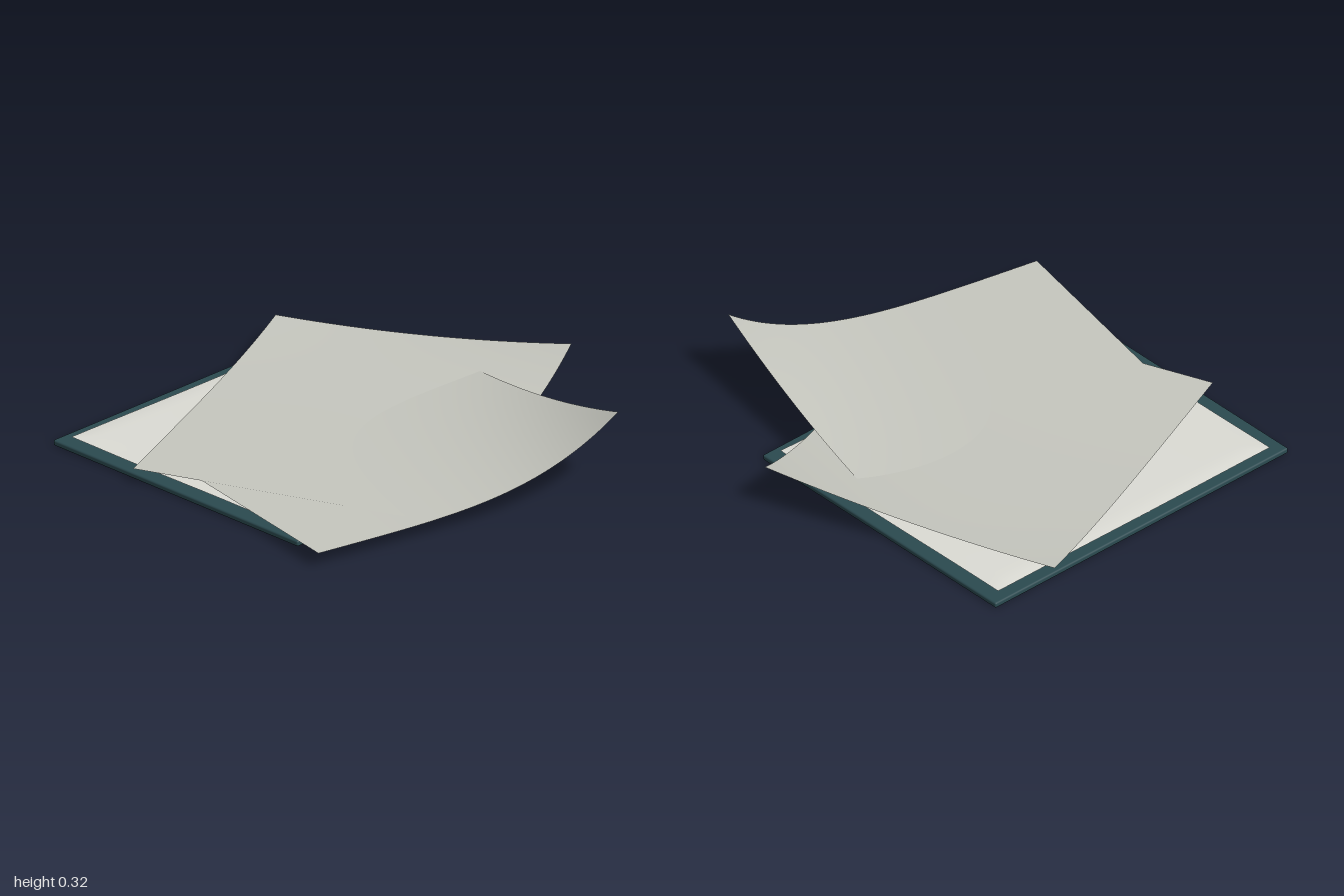
import * as THREE from 'three';
import { RoundedBoxGeometry } from 'three/addons/geometries/RoundedBoxGeometry.js';

// Curved sheet spanned by three ground corners [x, z]; height(s, t) with s left to right, t back to front
function makeSheet(name, material, backLeft, backRight, frontLeft, height) {
  const geometry = new THREE.PlaneGeometry(1, 1, 48, 48);
  const pos = geometry.attributes.position;
  const uv = geometry.attributes.uv;
  for (let i = 0; i < pos.count; i++) {
    const s = uv.getX(i);
    const t = 1 - uv.getY(i);
    const along = (k) =>
      backLeft[k] + s * (backRight[k] - backLeft[k]) + t * (frontLeft[k] - backLeft[k]);
    pos.setXYZ(i, along(0), height(s, t), along(1));
  }
  geometry.computeVertexNormals();
  const mesh = new THREE.Mesh(geometry, material);
  mesh.name = name;
  return mesh;
}

// Faint paper waviness
const ripple = (s, t) => 0.0012 * Math.sin(9 * s + 2 * t) * Math.sin(7 * t + 1);

export function createModel() {
  const group = new THREE.Group();
  group.name = 'paperStack';

  const boardTeal = new THREE.MeshStandardMaterial({ name: 'dark teal', color: 0x2b4a50 });
  const pageWhite = new THREE.MeshStandardMaterial({ name: 'page white', color: 0xdcdcd5, side: THREE.DoubleSide });
  const paperGrey = new THREE.MeshStandardMaterial({ name: 'paper grey', color: 0xc6c7bf, side: THREE.DoubleSide });

  // Backing board
  const board = new THREE.Mesh(new RoundedBoxGeometry(1.378, 0.025, 1.579, 3, 0.008), boardTeal);
  board.name = 'backingBoard';
  board.position.set(-0.23, 0.0125, 0);
  board.rotation.y = -Math.atan2(0.15, 1.37);
  group.add(board);

  // Page lying on the board, edges turned slightly down and one corner lifted
  group.add(makeSheet('boardPage', pageWhite, [-0.785, -0.795], [0.49, -0.66], [-0.95, 0.655], (s, t) => {
    const edge = Math.min(s, 1 - s, t, 1 - t);
    const drop = 0.005 * Math.max(0, 1 - edge / 0.06) ** 2;
    return 0.036 - drop + ripple(s, t) + 0.011 * (s * (1 - t)) ** 6;
  }));

  // Two loose sheets curling up toward the back right, crossing each other
  group.add(makeSheet('leftLooseSheet', paperGrey, [-0.93, -0.62], [0.3, -0.97], [-0.52, 0.8],
    (s, t) => 0.068 + (0.05 + 0.1 * s * s) * (1 - t) ** 4));
  group.add(makeSheet('rightLooseSheet', paperGrey, [-0.135, -0.753], [1, -0.395], [-0.575, 0.607],
    (s, t) => 0.065 + (0.05 + 0.05 * s + 0.16 * s * s) * (1 - t) ** 4));

  return group;
}
